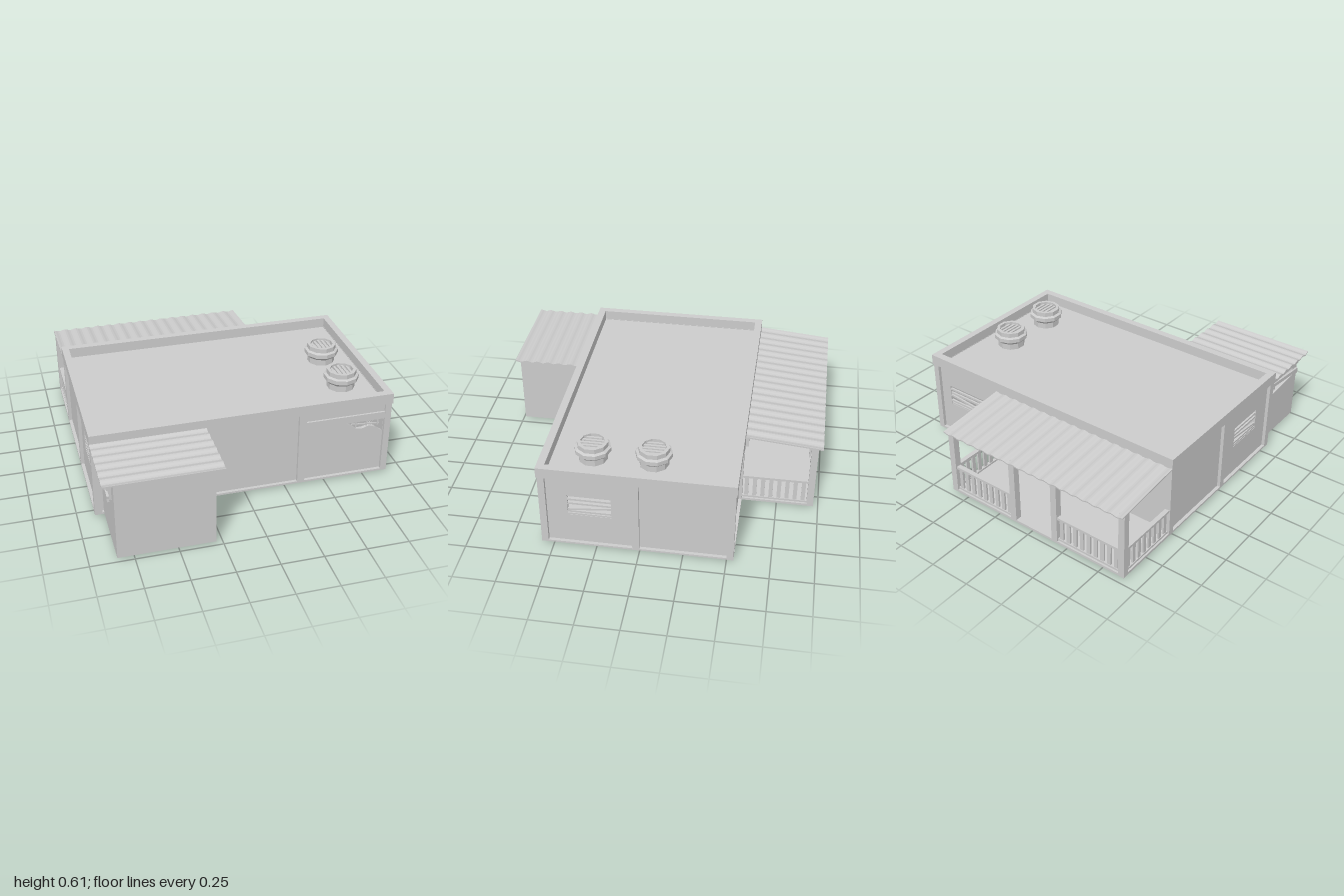
import * as THREE from 'three';

const mat = new THREE.MeshStandardMaterial({ color: 0xcccccc, flatShading: true, side: THREE.DoubleSide });

export function createModel() {
  const root = new THREE.Group();
  root.name = 'building';

  const add = (name, geo, parent = root) => {
    const m = new THREE.Mesh(geo, mat);
    m.name = name;
    parent.add(m);
    return m;
  };
  // box from its minimum and maximum corners
  const box = (name, x0, x1, y0, y1, z0, z1, parent = root) => {
    const m = add(name, new THREE.BoxGeometry(x1 - x0, y1 - y0, z1 - z0), parent);
    m.position.set((x0 + x1) / 2, (y0 + y1) / 2, (z0 + z1) / 2);
    return m;
  };
  const group = (name) => {
    const g = new THREE.Group();
    g.name = name;
    root.add(g);
    return g;
  };
  const outline = (pts) => new THREE.Shape(pts.map(([x, y]) => new THREE.Vector2(x, y)));
  const rect = (a, b, c, d) => [[a, c], [b, c], [b, d], [a, d]];
  const plate = (outer, holes, depth) => {
    const s = outline(outer);
    s.holes = holes.map(outline);
    return new THREE.ExtrudeGeometry(s, { depth, bevelEnabled: false });
  };

  // Floor slabs
  box('mainFloor', -0.9, 0.9, 0.015, 0.027, -0.54, 0.57);
  box('porchFloor', -0.9, 0.36, 0.015, 0.03, -0.97, -0.54);
  box('annexFloor', -0.845, -0.29, 0.015, 0.025, 0.57, 0.985);

  // Main walls with window openings and a torn front shutter
  const T = 0.02, Y0 = 0.015, Y1 = 0.49, W0 = 0.22, W1 = 0.36;
  const torn = [[0.61, 0.385], [0.66, 0.35], [0.69, 0.328], [0.73, 0.325], [0.77, 0.338],
    [0.81, 0.325], [0.835, 0.305], [0.86, 0.29], [0.86, 0.385]];
  add('frontWall', plate(rect(-0.88, 0.88, Y0, Y1), [torn], T)).position.z = 0.53;
  add('backWall', plate(rect(-0.88, 0.88, Y0, Y1), [rect(0.51, 0.79, W0, W1)], T)).position.z = -0.52;
  for (const x of [0.88, -0.86]) {
    const w = add('sideWall', plate(rect(-0.52, 0.55, Y0, Y1), [rect(0.16, 0.41, W0, W1)], T));
    w.rotation.y = -Math.PI / 2;
    w.position.x = x;
  }

  // Roof deck and parapet
  box('roofDeck', -0.87, 0.87, 0.475, 0.487, -0.51, 0.54);
  const parapet = add('parapet', plate(rect(-0.905, 0.905, -0.575, 0.545),
    [rect(-0.862, 0.862, -0.53, 0.5)], 0.065));
  parapet.rotation.x = -Math.PI / 2;
  parapet.position.y = 0.485;

  // Pillars around the walls
  const pillars = group('pillars');
  for (const [a, b] of [[-0.9, -0.855], [-0.29, -0.25], [0.325, 0.37], [0.862, 0.9]]) {
    box('frontPillar', a, b, Y0, 0.49, 0.53, 0.57, pillars);
    box('backPillar', a, b, Y0, 0.49, -0.54, -0.5, pillars);
  }
  for (const [a, b] of [[0.862, 0.9], [-0.9, -0.862]]) box('sidePillar', a, b, Y0, 0.49, 0, 0.04, pillars);

  // Louvred windows, one slat hanging askew
  const slats = (name, width, x, z, turn) => {
    const g = group(name);
    [0.225, 0.243, 0.268, 0.3, 0.328, 0.357].forEach((y, i) => {
      const s = box('slat', -width / 2, width / 2, y - 0.006, y + 0.006, -0.006, 0.006, g);
      if (i === 2) s.rotation.z = 0.1;
    });
    g.position.set(x, 0, z);
    g.rotation.y = turn;
  };
  slats('rightWindow', 0.25, 0.872, 0.285, Math.PI / 2);
  slats('leftWindow', 0.25, -0.872, 0.285, Math.PI / 2);
  slats('backWindow', 0.28, 0.65, -0.512, 0);

  // Roller shutter housing and bent remnants in the tear
  box('shutterHousing', 0.37, 0.862, 0.385, 0.43, 0.54, 0.568);
  box('shutterLintel', 0.37, 0.862, 0.43, 0.475, 0.54, 0.556);
  box('brokenStrip', 0.66, 0.84, 0.345, 0.352, 0.536, 0.542).rotation.z = -0.08;
  for (const x of [0.69, 0.76, 0.83]) box('brokenRod', x - 0.004, x + 0.004, 0.33, 0.385, 0.535, 0.543);

  // Back door
  box('doorLeftJamb', -0.18, -0.16, 0, 0.4, -0.54, -0.5);
  box('doorRightJamb', -0.385, -0.365, 0, 0.4, -0.54, -0.5);
  box('doorHead', -0.385, -0.16, 0.38, 0.4, -0.54, -0.5);
  box('doorSill', -0.385, -0.16, 0, 0.03, -0.535, -0.505);
  box('door', -0.365, -0.18, 0.03, 0.38, -0.528, -0.51);

  // Corrugated sheet: wavy profile along local x, extruded along local z
  const corrugated = (name, width, length, waves, amp) => {
    const n = waves * 6, top = [], bottom = [];
    for (let i = 0; i <= n; i++) {
      const y = amp * Math.cos((i / 6) * Math.PI * 2);
      top.push([(i / n) * width, y + 0.004]);
      bottom.unshift([(i / n) * width, y - 0.004]);
    }
    return add(name, plate([...top, ...bottom], [], length));
  };
  const porchRoof = corrugated('porchRoof', 1.27, 0.458, 17, 0.004);
  porchRoof.position.set(-0.905, 0.441, -0.998);
  porchRoof.rotation.x = -Math.atan2(0.043, 0.455);
  const annexRoof = corrugated('annexRoof', 0.43, 0.67, 6, 0.005);
  annexRoof.rotation.y = -Math.PI / 2;
  annexRoof.position.set(-0.235, 0.491, 0.57);

  // Porch posts and railings
  const porch = group('porchFrame');
  for (const x of [-0.88, -0.42, -0.12, 0.34]) box('porchPost', x - 0.02, x + 0.02, 0.015, 0.445, -0.97, -0.93, porch);
  const railing = (length, count, x, z, turn) => {
    const g = new THREE.Group();
    g.name = 'railing';
    box('topRail', 0, length, 0.18, 0.195, -0.014, 0.014, g);
    box('bottomRail', 0, length, 0.032, 0.044, -0.01, 0.01, g);
    for (let i = 0; i < count; i++) {
      const c = ((i + 0.5) / count) * length;
      box('baluster', c - 0.012, c + 0.012, 0.04, 0.185, -0.006, 0.006, g);
    }
    g.position.set(x, 0, z);
    g.rotation.y = turn;
    porch.add(g);
  };
  railing(0.42, 9, -0.86, -0.95, 0);
  railing(0.42, 9, -0.1, -0.95, 0);
  for (const x of [-0.88, 0.34]) railing(0.39, 8, x, -0.54, Math.PI / 2);

  // Front annex, its outer wall opening half covered by loose boards
  box('annexFrontWall', -0.845, -0.29, 0.015, 0.49, 0.97, 0.985);
  box('annexInnerWall', -0.305, -0.29, 0.015, 0.49, 0.55, 0.97);
  const outer = add('annexOuterWall', plate(rect(0.55, 0.97, 0.015, 0.49), [rect(0.66, 0.9, 0.34, 0.43)], 0.015));
  outer.rotation.y = -Math.PI / 2;
  outer.position.x = -0.83;
  [[0.445, 0], [0.4, 0.1], [0.36, -0.08]].forEach(([y, tilt]) => {
    box('looseBoard', -0.875, -0.862, y - 0.012, y + 0.012, 0.62, 0.94).rotation.x = tilt;
  });
  for (const z of [0.66, 0.9]) box('boardBracket', -0.863, -0.845, 0.35, 0.46, z - 0.008, z + 0.008);

  // Roof vents: faceted drum with a slatted mouth
  for (const z of [-0.055, 0.295]) {
    const v = group('roofVent');
    const profile = [[0.085, 0.485], [0.085, 0.525], [0.106, 0.545], [0.106, 0.57], [0.09, 0.577],
      [0.09, 0.605], [0.07, 0.605], [0.07, 0.565], [0, 0.565]];
    add('ventDrum', new THREE.LatheGeometry(profile.map(([r, y]) => new THREE.Vector2(r, y)), 10), v);
    for (let i = -2; i <= 2; i++) {
      const x = i * 0.025, h = Math.sqrt(0.07 ** 2 - x * x);
      box('ventSlat', x - 0.007, x + 0.007, 0.585, 0.593, -h, h, v);
    }
    v.position.set(0.68, 0, z);
  }
  return root;
}
